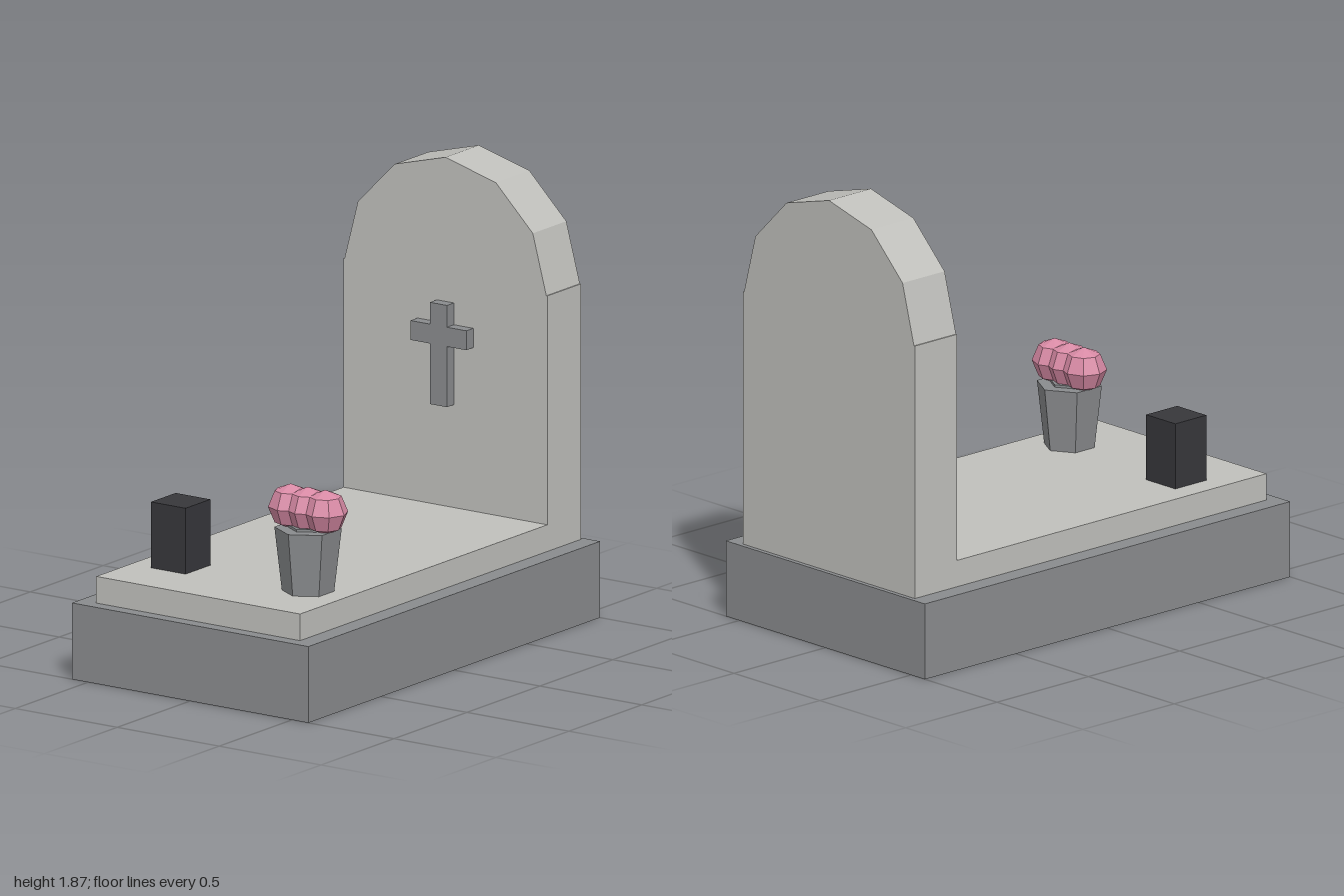
import * as THREE from 'three';

const mat = (name, color) => {
  const m = new THREE.MeshStandardMaterial({ color, flatShading: true });
  m.name = name;
  return m;
};

export function createModel() {
  const paleStone = mat('pale stone', 0xc0c0bc);
  const greyStone = mat('grey stone', 0x8a8c8e);
  const charcoal = mat('charcoal', 0x37373b);
  const pink = mat('pink petals', 0xd88aa5);

  const model = new THREE.Group();
  model.name = 'grave';

  const add = (name, geometry, material, x = 0, y = 0, z = 0, parent = model) => {
    const mesh = new THREE.Mesh(geometry, material);
    mesh.name = name;
    mesh.position.set(x, y, z);
    parent.add(mesh);
    return mesh;
  };
  // Box given by its minimum and maximum corners
  const box = (name, material, [x0, y0, z0], [x1, y1, z1], parent) =>
    add(name, new THREE.BoxGeometry(x1 - x0, y1 - y0, z1 - z0), material,
      (x0 + x1) / 2, (y0 + y1) / 2, (z0 + z1) / 2, parent);

  // Plinth and covering slab
  box('plinth', greyStone, [-0.58, 0, -1], [0.58, 0.315, 1]);
  box('slab', paleStone, [-0.5, 0.315, -0.75], [0.5, 0.425, 0.945]);

  // Headstone with a six-sided arched top
  const outline = new THREE.Shape();
  outline.moveTo(-0.5, 0.315);
  outline.lineTo(0.5, 0.315);
  outline.lineTo(0.5, 1.37);
  for (let i = 0; i <= 6; i++) {
    const a = (i * Math.PI) / 6;
    outline.lineTo(0.495 * Math.cos(a), 1.37 + 0.495 * Math.sin(a));
  }
  outline.lineTo(-0.5, 1.37);
  outline.closePath();
  add('headstone', new THREE.ExtrudeGeometry(outline, { depth: 0.23, bevelEnabled: false }),
    paleStone, 0, 0, -0.98);

  // Raised cross, one solid outline mirrored about its centre line
  const half = [[0.042, 0.85], [0.042, 1.1], [0.137, 1.1], [0.137, 1.18], [0.042, 1.18], [0.042, 1.27]];
  const crossPoints = [...half, ...half.map(([x, y]) => [-x, y]).reverse()];
  const cross = new THREE.Shape(crossPoints.map(([x, y]) => new THREE.Vector2(x, y)));
  add('cross', new THREE.ExtrudeGeometry(cross, { depth: 0.05, bevelEnabled: false }),
    greyStone, 0, 0, -0.752);

  // Lantern block
  box('lantern', charcoal, [-0.4, 0.425, 0.54], [-0.23, 0.697, 0.71]);

  // Hexagonal vase with a low filling and a row of three blooms
  const bouquet = new THREE.Group();
  bouquet.name = 'flowerVase';
  bouquet.position.set(0.315, 0, 0.632);
  model.add(bouquet);
  add('vase', new THREE.CylinderGeometry(0.135, 0.105, 0.26, 6), greyStone, 0, 0.555, 0, bouquet);
  add('vaseFilling', new THREE.CylinderGeometry(0.08, 0.08, 0.02, 6), greyStone, 0, 0.685, 0, bouquet);
  for (const i of [-1, 0, 1]) {
    add('bloom', new THREE.SphereGeometry(0.092, 8, 4), pink, i * 0.085, 0.762, 0, bouquet);
  }

  return model;
}
